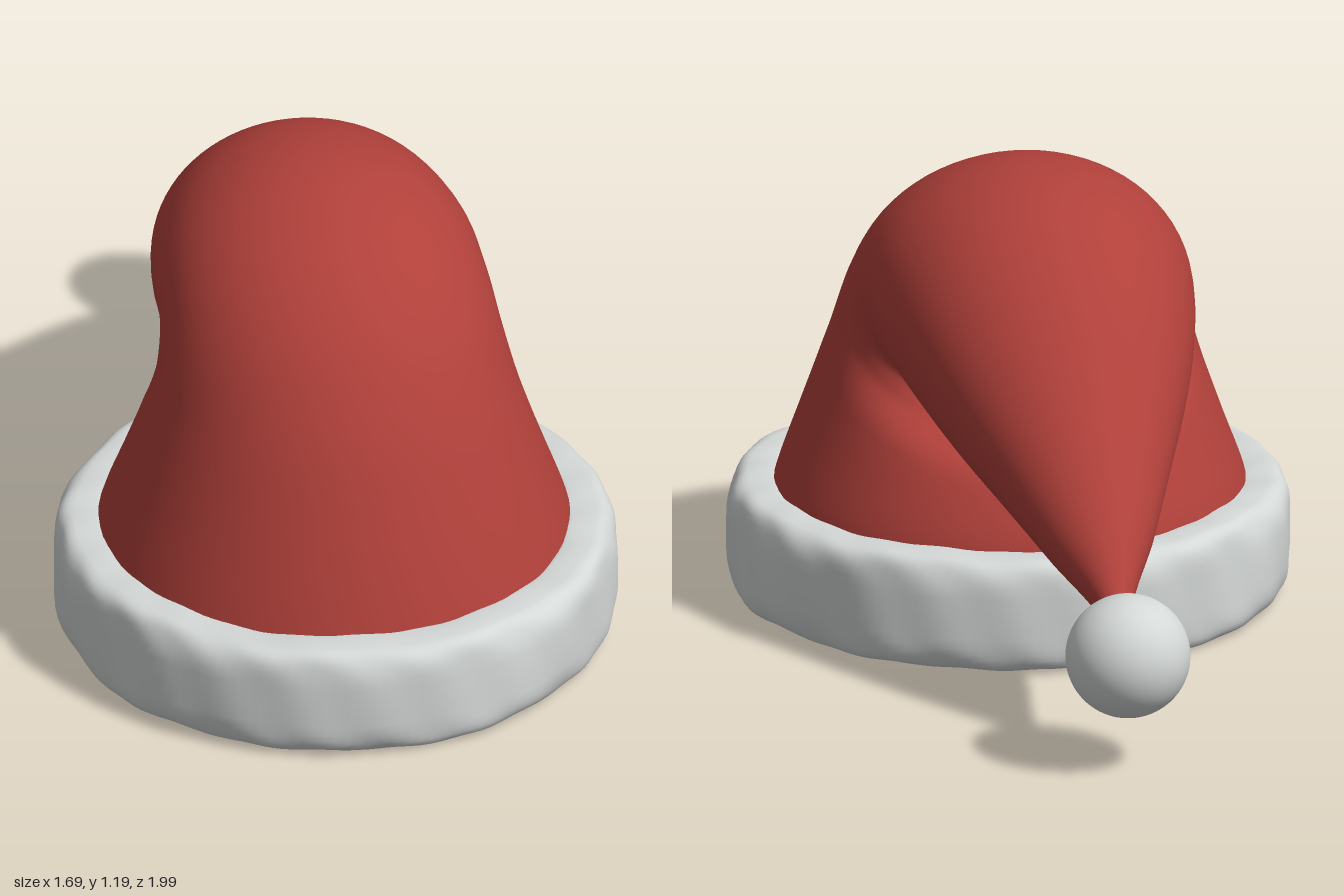
import * as THREE from 'three';

const TAU = Math.PI * 2;

// Smooth surface through rows of closed loops; optionally the last row joins the first
function loft(rows, cols, point, closed = false) {
  const pos = [], index = [];
  for (let i = 0; i < rows; i++) {
    for (let j = 0; j < cols; j++) pos.push(...point(i, j));
  }
  for (let i = 0; i < (closed ? rows : rows - 1); i++) {
    for (let j = 0; j < cols; j++) {
      const k = (j + 1) % cols, n = ((i + 1) % rows) * cols;
      const a = i * cols + j, b = i * cols + k, c = n + j, d = n + k;
      index.push(a, b, c, b, d, c);
    }
  }
  const geo = new THREE.BufferGeometry();
  geo.setAttribute('position', new THREE.Float32BufferAttribute(pos, 3));
  geo.setIndex(index);
  geo.computeVertexNormals();
  return geo;
}

// Cloth cone that rises, folds over and droops along local +x.
// Each section: inner point (x, y), outer point (x, y), half width
function capGeometry() {
  const sections = [
    [0.59, 0.20, -0.61, 0.20, 0.60],
    [0.585, 0.29, -0.585, 0.29, 0.585],
    [0.54, 0.39, -0.50, 0.53, 0.525],
    [0.49, 0.455, -0.395, 0.77, 0.47],
    [0.37, 0.52, -0.25, 0.975, 0.432],
    [0.31, 0.56, -0.04, 1.125, 0.412],
    [0.37, 0.53, 0.20, 1.19, 0.402],
    [0.48, 0.49, 0.45, 1.155, 0.37],
    [0.62, 0.455, 0.68, 1.02, 0.315],
    [0.82, 0.415, 0.92, 0.80, 0.225],
    [1.03, 0.37, 1.12, 0.595, 0.135],
    [1.20, 0.33, 1.27, 0.42, 0.05],
    [1.29, 0.30, 1.33, 0.35, 0.035],
  ];
  const curve = (f) => new THREE.CatmullRomCurve3(sections.map(f), false, 'centripetal');
  const inner = curve((s) => new THREE.Vector3(s[0], s[1], 0));
  const outer = curve((s) => new THREE.Vector3(s[2], s[3], 0));
  const width = curve((s, i) => new THREE.Vector3(i * 0.1, s[4], 0));
  const rows = 97, cols = 72;
  return loft(rows, cols, (i, j) => {
    const t = i / (rows - 1), a = (j / cols) * TAU;
    const p = inner.getPoint(t), q = outer.getPoint(t), w = width.getPoint(t).y;
    const k = (1 + Math.cos(a)) / 2;
    return [p.x + (q.x - p.x) * k, p.y + (q.y - p.y) * k, w * Math.sin(a)];
  });
}

// Rounded-rectangle fur ring with faint slanted ripples
function bandGeometry() {
  const rows = 160, cols = 40;
  const soft = (v) => Math.sign(v) * Math.pow(Math.abs(v), 0.55);
  return loft(rows, cols, (i, j) => {
    const a = (i / rows) * TAU, b = (j / cols) * TAU;
    const bump = 0.003 * Math.sin(9 * a + 3 * b) + 0.002 * Math.sin(23 * a - 4 * b)
      + 0.002 * Math.sin(5 * a + 2 * b);
    const r = 0.617 + (0.08 + bump) * soft(Math.cos(b));
    const y = 0.152 + (0.145 + bump * 0.6) * soft(Math.sin(b));
    return [r * Math.cos(a), y, r * Math.sin(a)];
  }, true);
}

export function createModel() {
  const red = new THREE.MeshStandardMaterial({ color: 0xb0403a, side: THREE.DoubleSide });
  red.name = 'red cloth';
  const white = new THREE.MeshStandardMaterial({ color: 0xd4d8d6 });
  white.name = 'white fur';

  const model = new THREE.Group();
  model.name = 'floppyHat';
  const add = (name, geo, mat, x, y, z) => {
    const mesh = new THREE.Mesh(geo, mat);
    mesh.name = name;
    mesh.position.set(x, y, z);
    model.add(mesh);
    return mesh;
  };

  // The cap droops towards the back left
  add('cap', capGeometry(), red, -0.145, 0, 0.29).rotation.y = 0.94;
  add('furBand', bandGeometry(), white, -0.145, 0, 0.294);
  add('pompom', new THREE.SphereGeometry(0.155, 48, 32), white, 0.685, 0.297, -0.845);
  return model;
}
